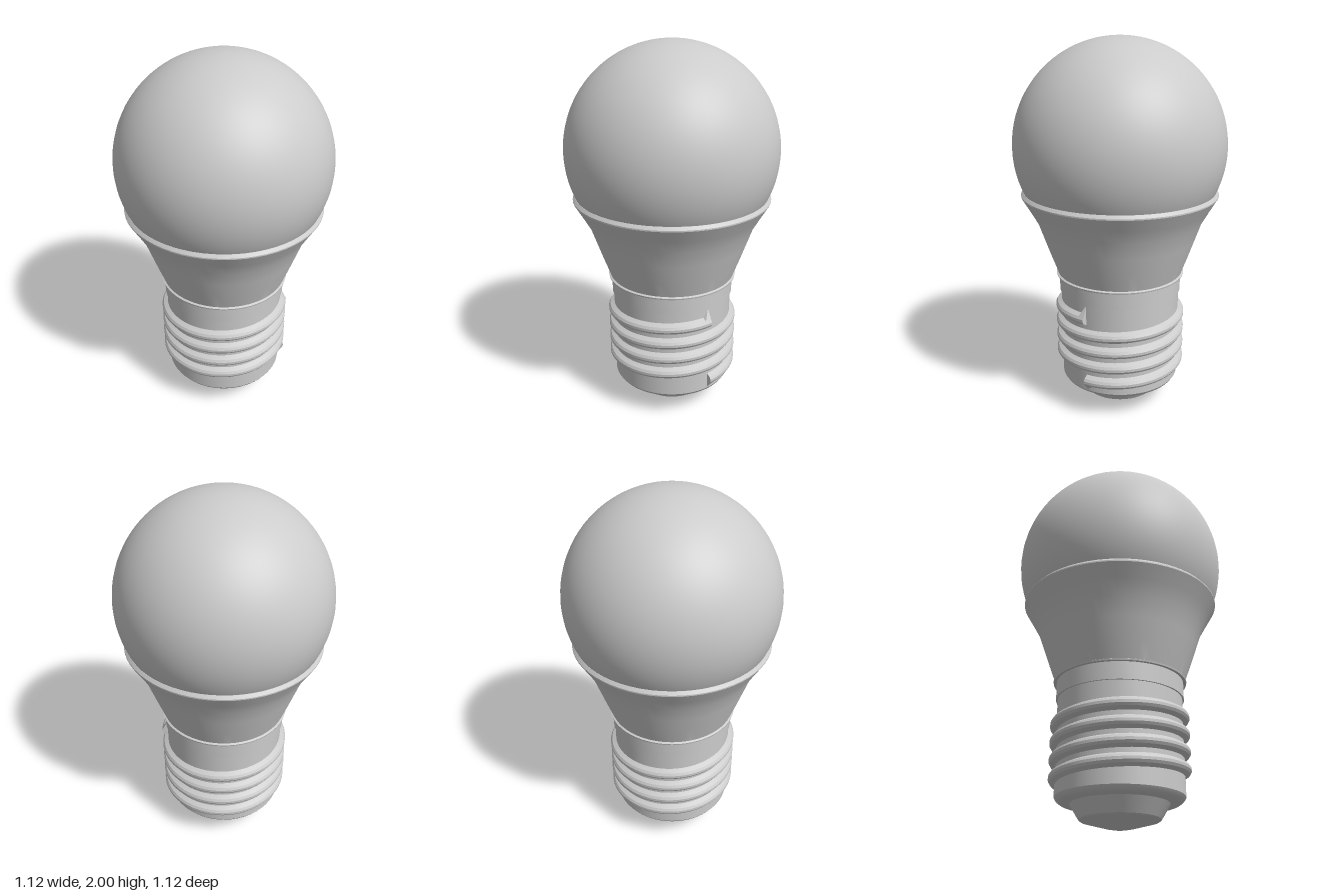
import * as THREE from 'three';
import { toCreasedNormals } from 'three/addons/utils/BufferGeometryUtils.js';

const material = new THREE.MeshStandardMaterial({ color: 0xcccccc, roughness: 0.7 });
const SEGMENTS = 64;

function addPart(group, name, geometry, crease = 0.45) {
  const mesh = new THREE.Mesh(toCreasedNormals(geometry, crease), material);
  mesh.name = name;
  group.add(mesh);
}

// Turned part from [radius, y] pairs listed bottom to top
function turned(points) {
  return new THREE.LatheGeometry(points.map(([r, y]) => new THREE.Vector2(r, y)), SEGMENTS);
}

// Raised screw thread: a ridge section swept up a helix, with capped ends
function threadGeometry(startY, pitch, turns) {
  const section = [[0.32, -0.036], [0.349, -0.02], [0.357, -0.007], [0.357, 0.007], [0.349, 0.02], [0.32, 0.036]];
  const n = section.length;
  const steps = turns * SEGMENTS;
  const positions = [];
  const indices = [];
  for (let i = 0; i <= steps; i++) {
    const t = (i / SEGMENTS) * Math.PI * 2;
    const y = startY + (pitch * i) / SEGMENTS;
    section.forEach(([r, dy], j) => {
      // the ridge flares into the shell at both ends
      let h = dy;
      if (i === 0 && j === 0) h = -0.06;
      if (i === steps && j === n - 1) h = 0.08;
      positions.push(r * Math.cos(t), y + h, -r * Math.sin(t));
    });
  }
  for (let i = 0; i < steps; i++) {
    for (let j = 0; j < n - 1; j++) {
      const a = i * n + j;
      const b = a + n;
      indices.push(a, b, b + 1, a, b + 1, a + 1);
    }
  }
  const last = steps * n;
  for (let j = 1; j < n - 1; j++) {
    indices.push(0, j, j + 1);
    indices.push(last, last + j + 1, last + j);
  }
  const geometry = new THREE.BufferGeometry();
  geometry.setAttribute('position', new THREE.Float32BufferAttribute(positions, 3));
  geometry.setIndex(indices);
  return geometry;
}

export function createModel() {
  const group = new THREE.Group();
  group.name = 'lightBulb';

  // Round diffuser, cut off where it sits in the housing
  const globe = new THREE.SphereGeometry(0.56, SEGMENTS, 40, 0, Math.PI * 2, 0, 2.03);
  globe.translate(0, 1.44, 0);
  addPart(group, 'globe', globe, 0.6);

  // Flared housing with a rim at the top and a thin lip at the bottom
  addPart(group, 'housing', turned([
    [0.325, 0.742], [0.348, 0.742], [0.35, 0.75], [0.34, 0.755],
    [0.375, 0.85], [0.41, 0.95], [0.443, 1.045], [0.485, 1.12],
    [0.525, 1.188], [0.525, 1.195], [0.512, 1.21], [0.5, 1.21],
  ]), 0.35);

  // Neck and screw shell, rounded in at the base
  addPart(group, 'screwShell', turned([
    [0, 0.12], [0.28, 0.12], [0.3, 0.125], [0.315, 0.135], [0.325, 0.15],
    [0.325, 0.65], [0.333, 0.65], [0.333, 0.745],
  ]));

  addPart(group, 'screwThread', threadGeometry(0.21, 0.09, 4));

  // Tapered insulator with a shallow domed contact
  addPart(group, 'insulator', turned([[0.195, 0.042], [0.203, 0.047], [0.25, 0.123]]));
  addPart(group, 'contact', turned([[0, 0], [0.04, 0.003], [0.08, 0.011], [0.195, 0.042]]));

  return group;
}
